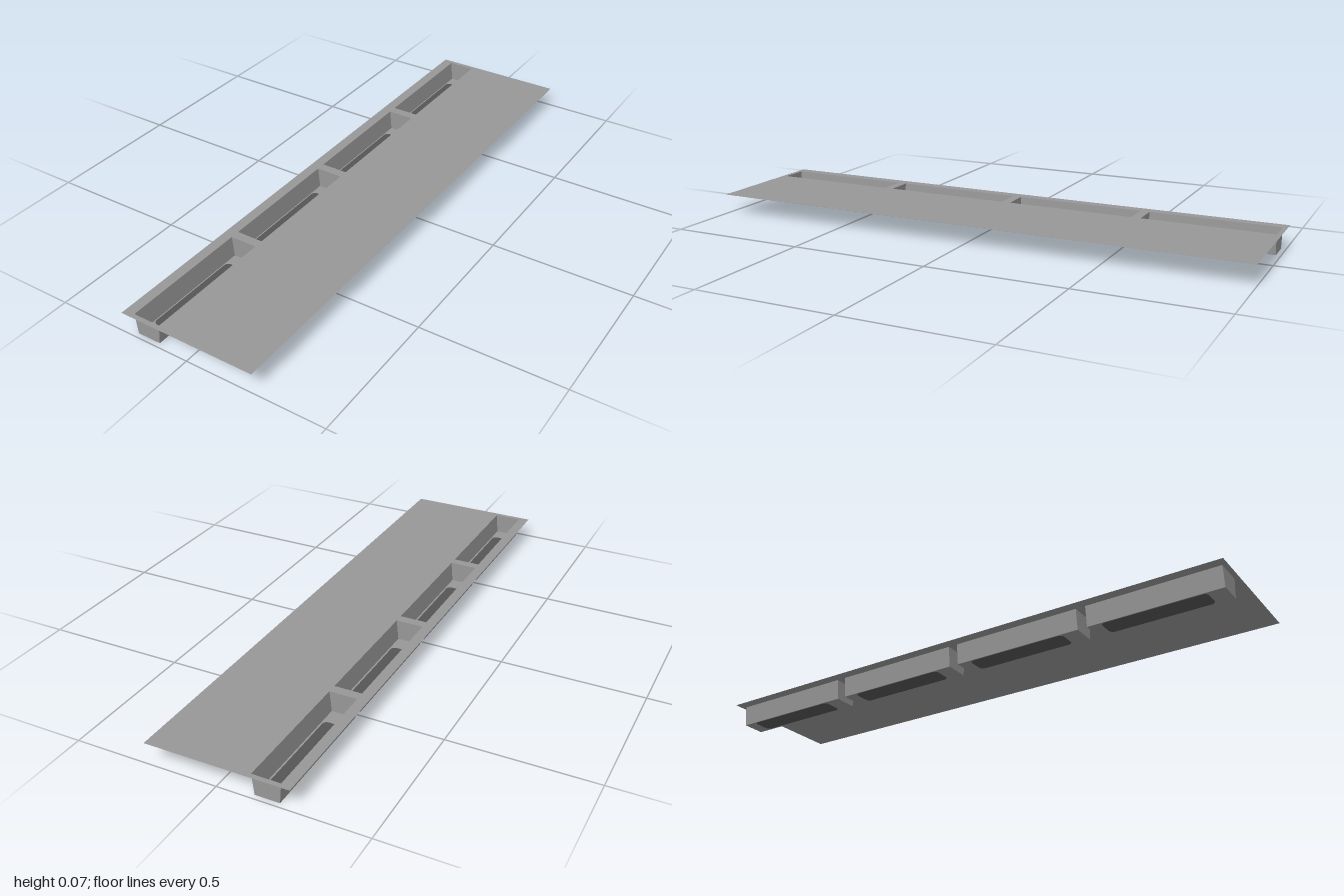
import * as THREE from 'three';

const TOP = 0.073;                      // height of the sheet
const HALF_LENGTH = 0.233;              // half length of one trough
const CENTRES = [-0.75, -0.25, 0.25, 0.75];
const RIM = [-0.21, -0.112];            // x range at the top
const BASE = [-0.203, -0.119];          // x range at the floor

const rectangle = (x0, x1, z0, z1) => [
  new THREE.Vector2(x0, -z0), new THREE.Vector2(x0, -z1),
  new THREE.Vector2(x1, -z1), new THREE.Vector2(x1, -z0),
];

// Outline of the dark field in a trough floor: a rectangle with rounded corners
function fieldOutline() {
  const x0 = -0.199, x1 = -0.125, y0 = -0.173, y1 = 0.187, r = 0.016;
  return new THREE.Path()
    .absarc(x1 - r, y1 - r, r, 0, Math.PI / 2)
    .absarc(x0 + r, y1 - r, r, Math.PI / 2, Math.PI)
    .absarc(x0 + r, y0 + r, r, Math.PI, 1.5 * Math.PI)
    .absarc(x1 - r, y0 + r, r, 1.5 * Math.PI, 2 * Math.PI)
    .getPoints(6);
}

// Flat horizontal plate with cut-outs
function plate(outline, holes, y) {
  const shape = new THREE.Shape(outline);
  shape.holes = holes.map((points) => new THREE.Path(points));
  return new THREE.ShapeGeometry(shape).rotateX(-Math.PI / 2).translate(0, y, 0);
}

// Four sloping sides joining the rim to the floor
function walls() {
  const ring = ([x0, x1], y) => [
    [x0, y, HALF_LENGTH], [x1, y, HALF_LENGTH], [x1, y, -HALF_LENGTH], [x0, y, -HALF_LENGTH],
  ];
  const low = ring(BASE, 0), high = ring(RIM, TOP);
  const positions = [];
  for (let i = 0; i < 4; i++) {
    const j = (i + 1) % 4;
    positions.push(...low[i], ...low[j], ...high[j], ...low[i], ...high[j], ...high[i]);
  }
  const geometry = new THREE.BufferGeometry();
  geometry.setAttribute('position', new THREE.Float32BufferAttribute(positions, 3));
  geometry.computeVertexNormals();
  return geometry;
}

function flatMaterial(name, color) {
  const material = new THREE.MeshStandardMaterial({ color, side: THREE.DoubleSide });
  material.name = name;
  return material;
}

export function createModel() {
  const model = new THREE.Group();
  model.name = 'troughPanel';
  const grey = flatMaterial('plainGrey', 0x979797);
  const dark = flatMaterial('darkGrey', 0x555555);
  const add = (parent, geometry, material, name) => {
    const mesh = new THREE.Mesh(geometry, material);
    mesh.name = name;
    parent.add(mesh);
  };

  // Thin sheet with four openings
  const openings = CENTRES.map((z) => rectangle(...RIM, z - HALF_LENGTH, z + HALF_LENGTH));
  add(model, plate(rectangle(-0.247, 0.247, -1, 1), openings, TOP), grey, 'sheet');

  // Troughs hanging below the openings, each with a dark field set into the floor
  const wallGeometry = walls();
  const field = fieldOutline();
  const floorGeometry = plate(rectangle(...BASE, -HALF_LENGTH, HALF_LENGTH), [field], 0);
  const fieldGeometry = plate(field, [], 0);
  CENTRES.forEach((z, i) => {
    const trough = new THREE.Group();
    trough.name = `trough${i + 1}`;
    trough.position.z = z;
    add(trough, wallGeometry, grey, 'troughWalls');
    add(trough, floorGeometry, grey, 'troughFloor');
    add(trough, fieldGeometry, dark, 'floorField');
    model.add(trough);
  });
  return model;
}
